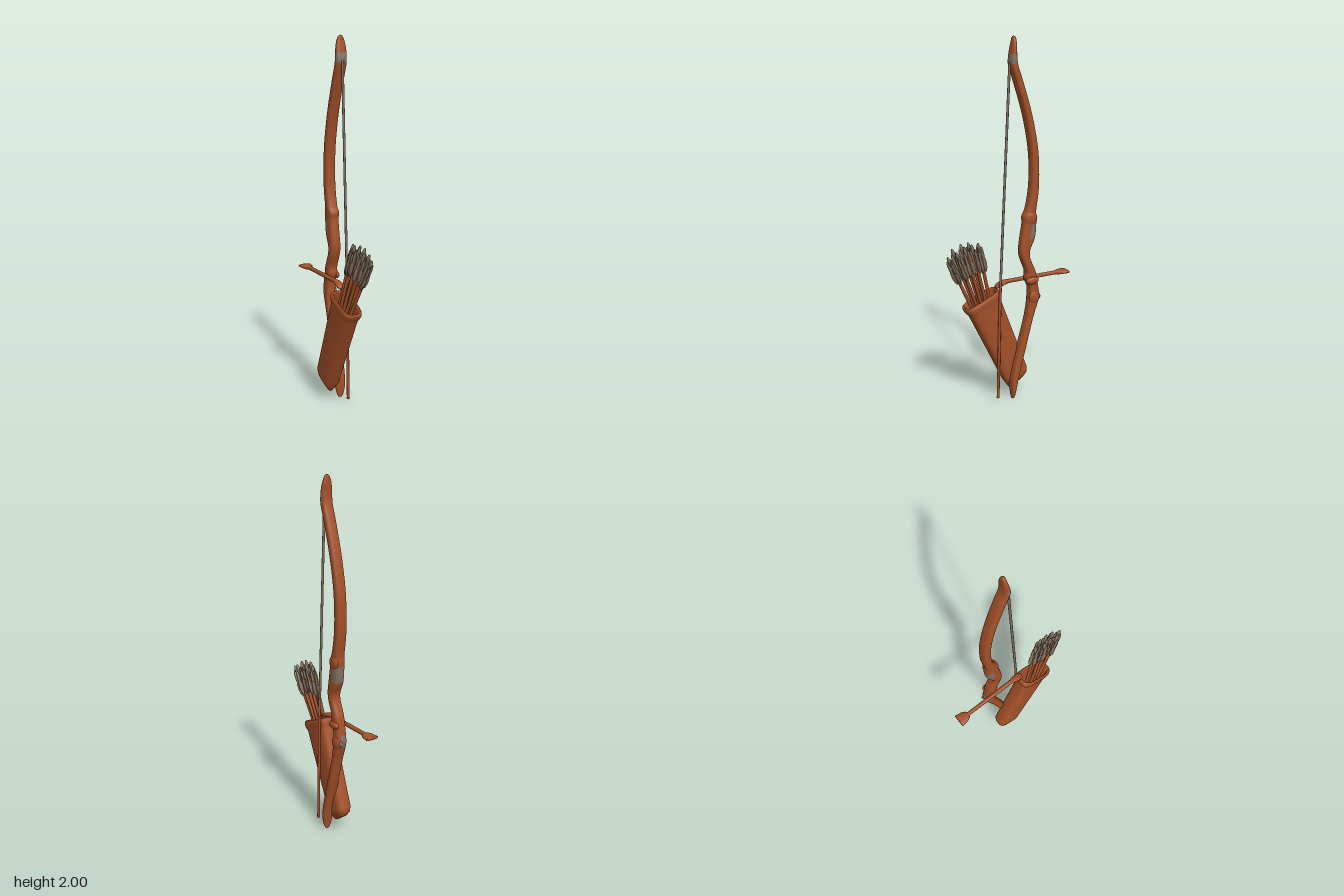
import * as THREE from 'three';

const wood = new THREE.MeshStandardMaterial({ color: 0xa25028 });
wood.name = 'sienna wood';
const grey = new THREE.MeshStandardMaterial({ color: 0x827262 });
grey.name = 'warm grey';

const V = (x, y, z) => new THREE.Vector3(x, y, z);

// Skin rounded-rectangle rings [y, centreZ, halfX, halfZ]; pick() chooses material 0 or 1 per face
function loft(rings, power, sides, pick = () => 0) {
  const pos = [], faces = [[], []];
  const bend = (v) => Math.sign(v) * Math.abs(v) ** (2 / power);
  for (const [y, cz, hx, hz] of rings) {
    for (let j = 0; j < sides; j++) {
      const t = (j / sides) * Math.PI * 2;
      pos.push(hx * bend(Math.cos(t)), y, cz + hz * bend(Math.sin(t)));
    }
  }
  for (let i = 0; i < rings.length - 1; i++) {
    const midY = (rings[i][0] + rings[i + 1][0]) / 2;
    for (let j = 0; j < sides; j++) {
      const k = (j + 1) % sides, t = ((j + 0.5) / sides) * Math.PI * 2;
      const a = i * sides + j, b = i * sides + k, c = a + sides, d = b + sides;
      faces[pick(midY, Math.cos(t), Math.sin(t)) ? 1 : 0].push(a, c, b, b, c, d);
    }
  }
  const geo = new THREE.BufferGeometry();
  geo.setAttribute('position', new THREE.Float32BufferAttribute(pos, 3));
  geo.setIndex([...faces[0], ...faces[1]]);
  geo.addGroup(0, faces[0].length, 0);
  geo.addGroup(faces[0].length, faces[1].length, 1);
  geo.computeVertexNormals();
  return geo;
}

function add(parent, name, geo, mat) {
  const mesh = new THREE.Mesh(geo, mat);
  mesh.name = name;
  parent.add(mesh);
  return mesh;
}

// Straight rod between two points
function rod(parent, name, a, b, r, mat) {
  const dir = b.clone().sub(a);
  const mesh = add(parent, name, new THREE.CylinderGeometry(r, r, dir.length(), 10), mat);
  mesh.position.copy(a).add(b).multiplyScalar(0.5);
  mesh.quaternion.setFromUnitVectors(V(0, 1, 0), dir.normalize());
}

function ellipsoid(parent, name, centre, radii, mat) {
  const mesh = add(parent, name, new THREE.SphereGeometry(1, 14, 10), mat);
  mesh.position.copy(centre);
  mesh.scale.copy(radii);
  return mesh;
}

function makeBow() {
  // Side profile from bottom to top: height, centre depth, half thickness
  const profile = [
    [0, -0.007, 0], [0.003, -0.007, 0.007], [0.03, -0.007, 0.01], [0.12, -0.015, 0.02],
    [0.3, -0.06, 0.022], [0.48, -0.108, 0.022], [0.56, -0.128, 0.03], [0.59, -0.133, 0.033],
    [0.65, -0.13, 0.029], [0.7, -0.115, 0.035], [0.74, -0.112, 0.029], [0.82, -0.08, 0.027],
    [0.86, -0.076, 0.03], [0.93, -0.095, 0.042], [1.02, -0.106, 0.039], [1.05, -0.105, 0.04],
    [1.08, -0.112, 0.03], [1.2, -0.132, 0.025], [1.4, -0.129, 0.023], [1.6, -0.09, 0.022],
    [1.78, -0.033, 0.022], [1.86, -0.006, 0.021], [1.91, -0.005, 0.016], [1.97, -0.01, 0.011],
    [1.997, -0.01, 0.007], [2, -0.01, 0],
  ];
  const curve = new THREE.CatmullRomCurve3(profile.map((p) => V(...p)));
  // Constant width, rounded off at both tips
  const rings = curve.getPoints((profile.length - 1) * 5).map(({ x: y, y: z, z: half }) => {
    const fromEnd = Math.max(0, Math.min(1, y / 0.1, (2 - y) / 0.1));
    return [y, z, 0.031 * Math.sqrt(fromEnd * (2 - fromEnd)), Math.max(0, half)];
  });
  // Grey wrap at the tip, plate on the back of the riser, small patches on the lower limb
  const pick = (y, x, z) => (y > 1.86 && y < 1.91 && z > -0.3)
    || (y > 0.93 && y < 1.015 && z < -0.1)
    || (y > 0.565 && y < 0.64 && z < -0.1 && x < 0.2)
    || (y > 0.09 && y < 0.14 && z < 0 && x < 0);
  const bow = new THREE.Group();
  bow.name = 'bow';
  bow.position.x = 0.034;
  add(bow, 'bowStave', loft(rings, 3, 28, pick), [wood, grey]);
  // Bumps on the outer side of the riser
  ellipsoid(bow, 'arrowRest', V(0.026, 0.69, -0.115), V(0.017, 0.022, 0.04), wood);
  ellipsoid(bow, 'riserBump', V(0.023, 1.04, -0.108), V(0.014, 0.04, 0.036), wood);
  ellipsoid(bow, 'limbBump', V(0.023, 0.59, -0.13), V(0.014, 0.04, 0.032), wood);
  ellipsoid(bow, 'limbKnob', V(0.014, 0.59, -0.163), V(0.01, 0.016, 0.01), grey);
  // String, bent where the arrow is nocked
  const top = V(0, 1.87, 0.013), nock = V(0, 0.67, 0.07), end = V(0, 0.03, 0.086);
  rod(bow, 'upperString', top, nock, 0.007, grey);
  rod(bow, 'lowerString', nock, end, 0.008, wood);
  ellipsoid(bow, 'stringEnd', end, V(0.009, 0.009, 0.009), wood);
  return bow;
}

function addQuiver(model) {
  // Wedge-shaped foot, outer wall, rolled rim, then the inner wall and floor
  const rings = [
    [-0.032, 0.048, 0, 0], [-0.03, 0.046, 0.01, 0.02], [-0.014, 0.016, 0.026, 0.053],
    [0.006, 0.003, 0.039, 0.069], [0.035, 0, 0.047, 0.077], [0.27, 0, 0.049, 0.087],
    [0.5, 0, 0.05, 0.098], [0.515, 0, 0.055, 0.107], [0.538, 0, 0.058, 0.112],
    [0.553, 0, 0.055, 0.109], [0.558, 0, 0.049, 0.102], [0.55, 0, 0.044, 0.096],
    [0.52, 0, 0.042, 0.092], [0.15, 0, 0.04, 0.075], [0.15, 0, 0, 0],
  ];
  const quiver = add(model, 'quiver', loft(rings, 3.6, 32), wood);
  quiver.position.set(-0.022, 0.1, -0.06);
  quiver.rotation.x = 0.415;
}

// Shaft with three two-lobed vanes, reaching down into the quiver
function makeStoredArrow(tip, turn) {
  const d = 0.37 - tip.z;
  const rim = V(-0.028 + tip.x * 0.6, 0.58 + d * 0.25, 0.225 - d * 0.62);
  const length = tip.distanceTo(rim) * 1.4;
  const arrow = new THREE.Group();
  arrow.name = 'storedArrow';
  arrow.position.copy(tip);
  arrow.quaternion.setFromUnitVectors(V(0, 1, 0), tip.clone().sub(rim).normalize());
  rod(arrow, 'arrowShaft', V(0, -length, 0), V(0, -0.08, 0), 0.0095, wood);
  ellipsoid(arrow, 'arrowNock', V(0, -0.035, 0), V(0.01, 0.036, 0.01), grey);
  for (let i = 0; i < 3; i++) {
    const vane = new THREE.Group();
    vane.name = 'arrowVane';
    vane.rotation.y = turn + (i * Math.PI * 2) / 3;
    ellipsoid(vane, 'vaneUpperLobe', V(0.014, -0.075, 0), V(0.009, 0.05, 0.007), grey);
    ellipsoid(vane, 'vaneLowerLobe', V(0.013, -0.13, 0), V(0.014, 0.05, 0.008), grey);
    arrow.add(vane);
  }
  return arrow;
}

// Arrow laid across the bow, built upright then tipped to point backwards
function addNockedArrow(model) {
  const rings = [
    [-0.08, -0.022, 0, 0], [-0.078, -0.022, 0.014, 0.01], [-0.06, -0.014, 0.021, 0.014],
    [-0.03, -0.003, 0.02, 0.013], [-0.005, 0, 0.012, 0.011], [0.305, 0.004, 0.011, 0.011],
    [0.315, 0.004, 0.022, 0.012], [0.33, 0.005, 0.031, 0.012], [0.36, 0.005, 0.036, 0.011],
    [0.372, 0.005, 0.039, 0.01], [0.376, 0.005, 0.037, 0.008], [0.376, 0.005, 0, 0],
  ];
  const arrow = add(model, 'nockedArrow', loft(rings, 2.4, 20), wood);
  arrow.position.set(-0.004, 0.687, 0);
  arrow.rotation.x = -Math.PI / 2;
}

export function createModel() {
  const model = new THREE.Group();
  model.name = 'bowAndQuiver';
  model.add(makeBow());
  addQuiver(model);
  addNockedArrow(model);
  // Arrows fanned along the quiver mouth, a single one in front and pairs behind
  const tips = [
    V(0.01, 0.877, 0.37), V(-0.014, 0.912, 0.335), V(0.022, 0.9, 0.325), V(-0.012, 0.932, 0.285),
    V(0.022, 0.925, 0.28), V(-0.015, 0.935, 0.24), V(0.02, 0.93, 0.235), V(0.004, 0.93, 0.19),
  ];
  tips.forEach((tip, i) => model.add(makeStoredArrow(tip, i * 0.8)));
  return model;
}
